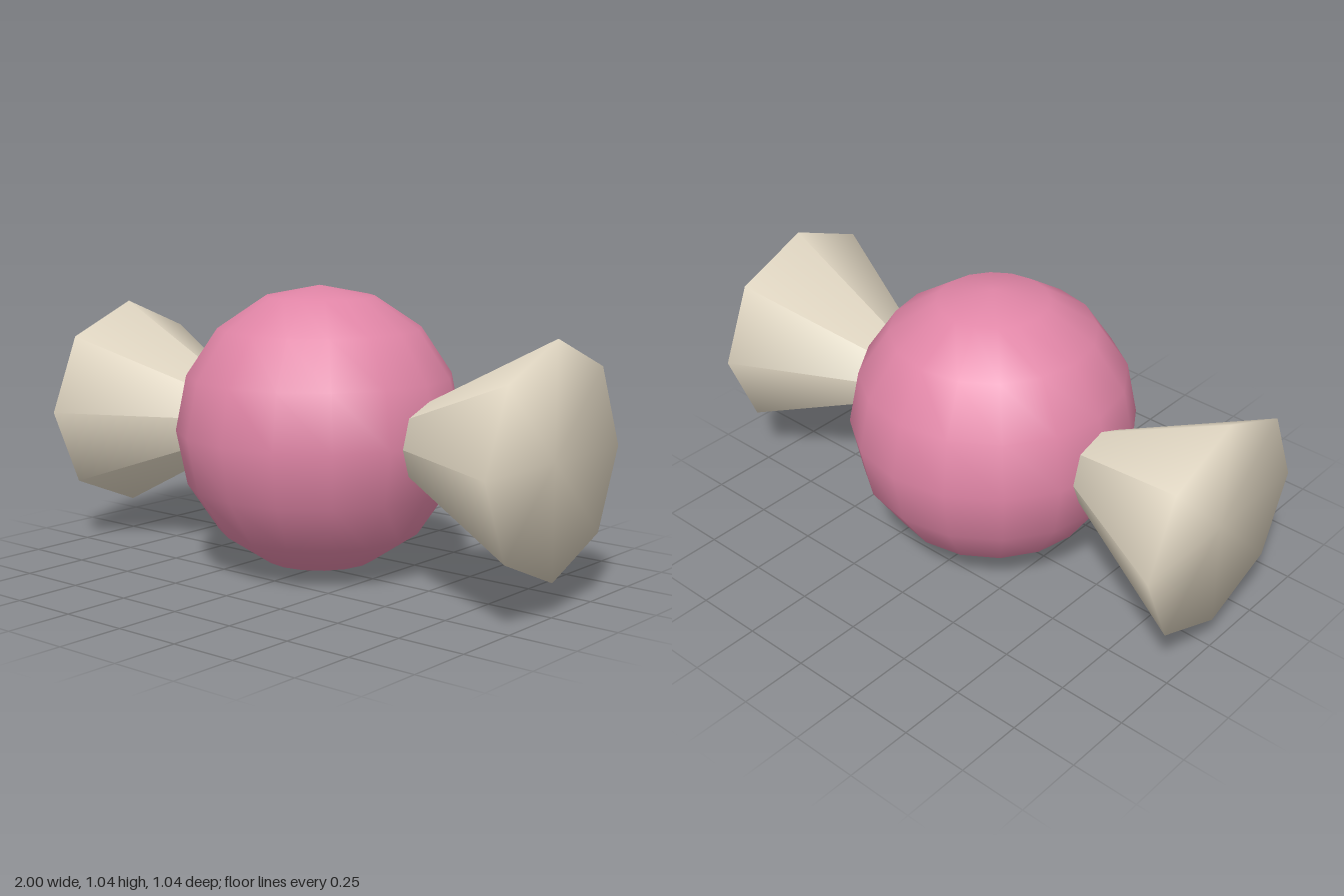
import * as THREE from 'three';

const CENTRE = 0.522; // height of the middle axis

export function createModel() {
  const model = new THREE.Group();
  model.name = 'wrappedSweet';

  const pink = new THREE.MeshStandardMaterial({ color: 0xe085a6 });
  pink.name = 'candy pink';
  const cream = new THREE.MeshStandardMaterial({ color: 0xe0d6c2 });
  cream.name = 'wrapper cream';

  // Round centre
  const ball = new THREE.Mesh(new THREE.SphereGeometry(CENTRE, 16, 8), pink);
  ball.name = 'candyBall';
  ball.position.y = CENTRE;
  model.add(ball);

  // Eight-sided wrapper ends, smoothly shaded over the rim, points buried in the ball
  const profile = [[0, 0.2], [0.404, 1], [0, 1]].map(([r, h]) => new THREE.Vector2(r, h));
  const coneGeometry = new THREE.LatheGeometry(profile, 8);
  for (const side of [1, -1]) {
    const cone = new THREE.Mesh(coneGeometry, cream);
    cone.name = side > 0 ? 'leftWrapperEnd' : 'rightWrapperEnd';
    cone.rotation.z = -side * Math.PI / 2;
    cone.position.y = CENTRE;
    model.add(cone);
  }
  return model;
}
